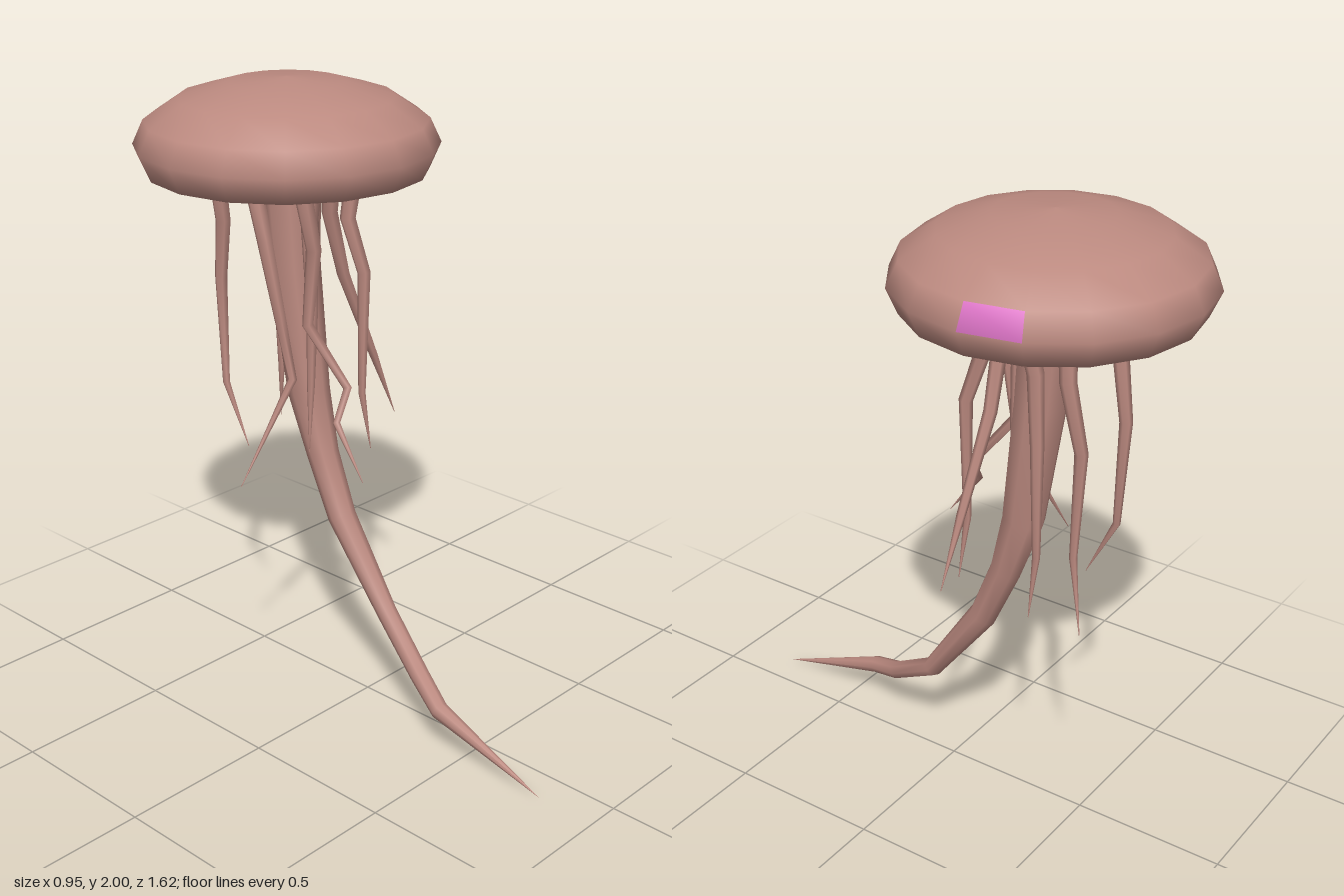
import * as THREE from 'three';

const skin = new THREE.MeshStandardMaterial({ name: 'skin', color: 0xbc8a80, side: THREE.DoubleSide });
const pink = new THREE.MeshStandardMaterial({ name: 'pinkPatch', color: 0xdc74c6, side: THREE.DoubleSide });

// Tapered limb through points [x, y, z, radius]; the last point is the tip.
function limb(name, points, sides) {
  const pts = points.map(p => new THREE.Vector3(p[0], p[1], p[2]));
  const pos = [], idx = [];
  pts.forEach((p, i) => {
    const before = pts[Math.max(i - 1, 0)], after = pts[Math.min(i + 1, pts.length - 1)];
    const t = after.clone().sub(p).normalize().add(p.clone().sub(before).normalize()).normalize();
    const u = new THREE.Vector3(1, 0, 0).addScaledVector(t, -t.x).normalize();
    const v = new THREE.Vector3().crossVectors(t, u);
    for (let s = 0; s < sides; s++) {
      const a = (s / sides) * Math.PI * 2, r = points[i][3];
      const q = p.clone().addScaledVector(u, r * Math.cos(a)).addScaledVector(v, r * Math.sin(a));
      pos.push(q.x, q.y, q.z);
      if (i > 0) {
        const n = (s + 1) % sides, lo = (i - 1) * sides, hi = i * sides;
        idx.push(lo + s, lo + n, hi + s, lo + n, hi + n, hi + s);
      }
    }
  });
  const g = new THREE.BufferGeometry();
  g.setAttribute('position', new THREE.Float32BufferAttribute(pos, 3));
  g.setIndex(idx);
  g.computeVertexNormals();
  const mesh = new THREE.Mesh(g, skin);
  mesh.name = name;
  return mesh;
}

// Bell with a hollow underside; one face of the upper rim is pink.
function makeBell() {
  const profile = [
    [0, 1.79], [0.18, 1.78], [0.32, 1.74], [0.38, 1.715], [0.44, 1.715],
    [0.475, 1.795], [0.44, 1.87], [0.335, 1.94], [0.18, 1.985], [0, 2],
  ].map(p => new THREE.Vector2(p[0], p[1]));
  const g = new THREE.LatheGeometry(profile, 16);
  const start = (4 * (profile.length - 1) + 5) * 6;
  g.addGroup(0, start, 0);
  g.addGroup(start, 6, 1);
  g.addGroup(start + 6, g.index.count - start - 6, 0);
  const bell = new THREE.Mesh(g, [skin, pink]);
  bell.name = 'bell';
  bell.position.z = -0.34;
  return bell;
}

export function createModel() {
  const model = new THREE.Group();
  model.name = 'jellyfish';
  model.add(makeBell());

  // Thick central arm that sweeps forward
  model.add(limb('centralArm', [
    [-0.01, 1.8, -0.33, 0.09], [-0.01, 1.6, -0.32, 0.085], [-0.01, 1.4, -0.305, 0.082],
    [0, 1, -0.26, 0.068], [0, 0.8, -0.2, 0.052], [0, 0.6, -0.115, 0.046],
    [0, 0.32, 0.085, 0.033], [-0.06, 0.195, 0.28, 0.031], [-0.11, 0.14, 0.41, 0.029], [-0.11, 0.005, 0.81, 0],
  ], 8));

  // Thin tentacles, [x, y, z] from root to tip
  const paths = [
    [[-0.2, 1.77, -0.3], [-0.2, 1.55, -0.24], [-0.17, 1.3, -0.21], [-0.15, 1.1, -0.18], [-0.35, 0.79, -0.21]],
    [[-0.15, 1.77, -0.14], [-0.13, 1.53, -0.1], [-0.1, 1.27, -0.16], [-0.07, 1.09, -0.02], [-0.14, 1, 0], [-0.15, 0.84, 0.12]],
    [[-0.16, 1.77, -0.5], [-0.14, 1.55, -0.49], [-0.12, 1.35, -0.53], [-0.13, 1, -0.51], [-0.13, 0.8, -0.41]],
    [[0.02, 1.77, -0.16], [0.03, 1.6, -0.19], [0.1, 1.38, -0.2], [0.22, 1.08, -0.18], [0.31, 0.86, -0.17]],
    [[0.1, 1.77, -0.14], [0.09, 1.57, -0.17], [0.11, 1.4, -0.12], [0.1, 1, -0.12], [0.13, 0.8, -0.11]],
    [[0.14, 1.77, -0.48], [0.15, 1.57, -0.49], [0.13, 1.35, -0.53], [0.12, 1, -0.51], [0.17, 0.78, -0.57]],
    [[0.19, 1.77, -0.36], [0.16, 1.57, -0.39], [0.19, 1.37, -0.42], [0.18, 1, -0.42], [0.2, 0.8, -0.41]],
    [[-0.06, 1.77, -0.16], [-0.05, 1.55, -0.2], [-0.04, 1.3, -0.2], [-0.05, 1.05, -0.2], [-0.06, 0.82, -0.2]],
  ];
  const tentacles = new THREE.Group();
  tentacles.name = 'tentacles';
  paths.forEach((path, i) => {
    const points = path.map((p, k) => [...p, k === path.length - 1 ? 0.001 : 0.012 + 0.018 * (p[1] - 1) / 0.77]);
    tentacles.add(limb('tentacle' + (i + 1), points, 6));
  });
  model.add(tentacles);
  return model;
}
